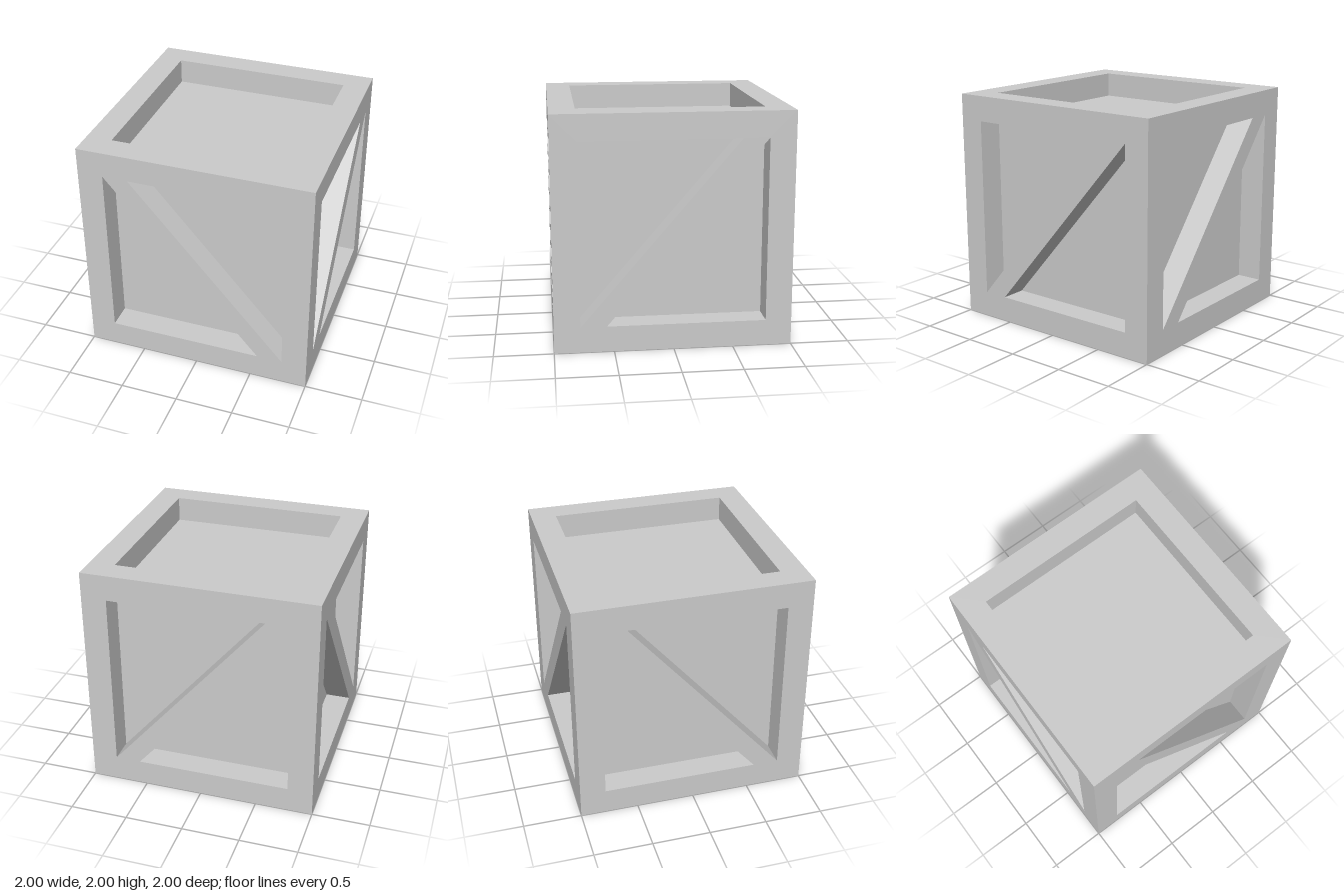
import * as THREE from 'three';

const OUT = 1;      // half size of the crate
const IN = 0.78;    // half size of each opening, and level of the recessed panels
const TIP = 0.56;   // where the diagonal brace leaves the opening's edge

const material = new THREE.MeshStandardMaterial({ color: 0xcccccc, flatShading: true });

// Openings as counter-clockwise corner lists
const square = [[[-IN, -IN], [IN, -IN], [IN, IN], [-IN, IN]]];
const falling = [
  [[IN, IN], [-TIP, IN], [IN, -IN]],
  [[-IN, IN], [-IN, -IN], [TIP, -IN]],
];
const rising = falling.map((hole) => hole.map(([x, y]) => [-x, y]).reverse());

const toPoints = (corners) => corners.map(([x, y]) => new THREE.Vector2(x, y));

function addMesh(group, name, geometry, z = 0) {
  const mesh = new THREE.Mesh(geometry, material);
  mesh.name = name;
  mesh.position.z = z;
  group.add(mesh);
}

// Inward-facing walls running from the frame down to the panel
function recessWalls(corners) {
  const positions = [];
  corners.forEach((p, i) => {
    const q = corners[(i + 1) % corners.length];
    positions.push(
      ...p, OUT, ...q, OUT, ...q, IN,
      ...p, OUT, ...q, IN, ...p, IN,
    );
  });
  const geometry = new THREE.BufferGeometry();
  geometry.setAttribute('position', new THREE.Float32BufferAttribute(positions, 3));
  geometry.computeVertexNormals();
  return geometry;
}

// One crate side facing +z: frame (with brace, if any), recess walls and panels
function crateSide(name, openings) {
  const side = new THREE.Group();
  side.name = name;
  const frame = new THREE.Shape(toPoints([[-OUT, -OUT], [OUT, -OUT], [OUT, OUT], [-OUT, OUT]]));
  for (const corners of openings) {
    frame.holes.push(new THREE.Path(toPoints(corners)));
    addMesh(side, 'recessWalls', recessWalls(corners));
    addMesh(side, 'panel', new THREE.ShapeGeometry(new THREE.Shape(toPoints(corners))), IN);
  }
  addMesh(side, openings.length > 1 ? 'frameWithBrace' : 'frame', new THREE.ShapeGeometry(frame), OUT);
  return side;
}

export function createModel() {
  const crate = new THREE.Group();
  crate.name = 'crate';
  const quarter = Math.PI / 2;
  const sides = [
    // name, openings, turn about x, turn about y
    ['frontSide', falling, 0, 0],
    ['backSide', rising, 0, Math.PI],
    ['leftSide', rising, 0, quarter],
    ['rightSide', falling, 0, -quarter],
    ['topSide', square, -quarter, 0],
    ['bottomSide', square, quarter, 0],
  ];
  for (const [name, openings, rx, ry] of sides) {
    const side = crateSide(name, openings);
    side.rotation.set(rx, ry, 0);
    side.position.y = OUT;
    crate.add(side);
  }
  return crate;
}
